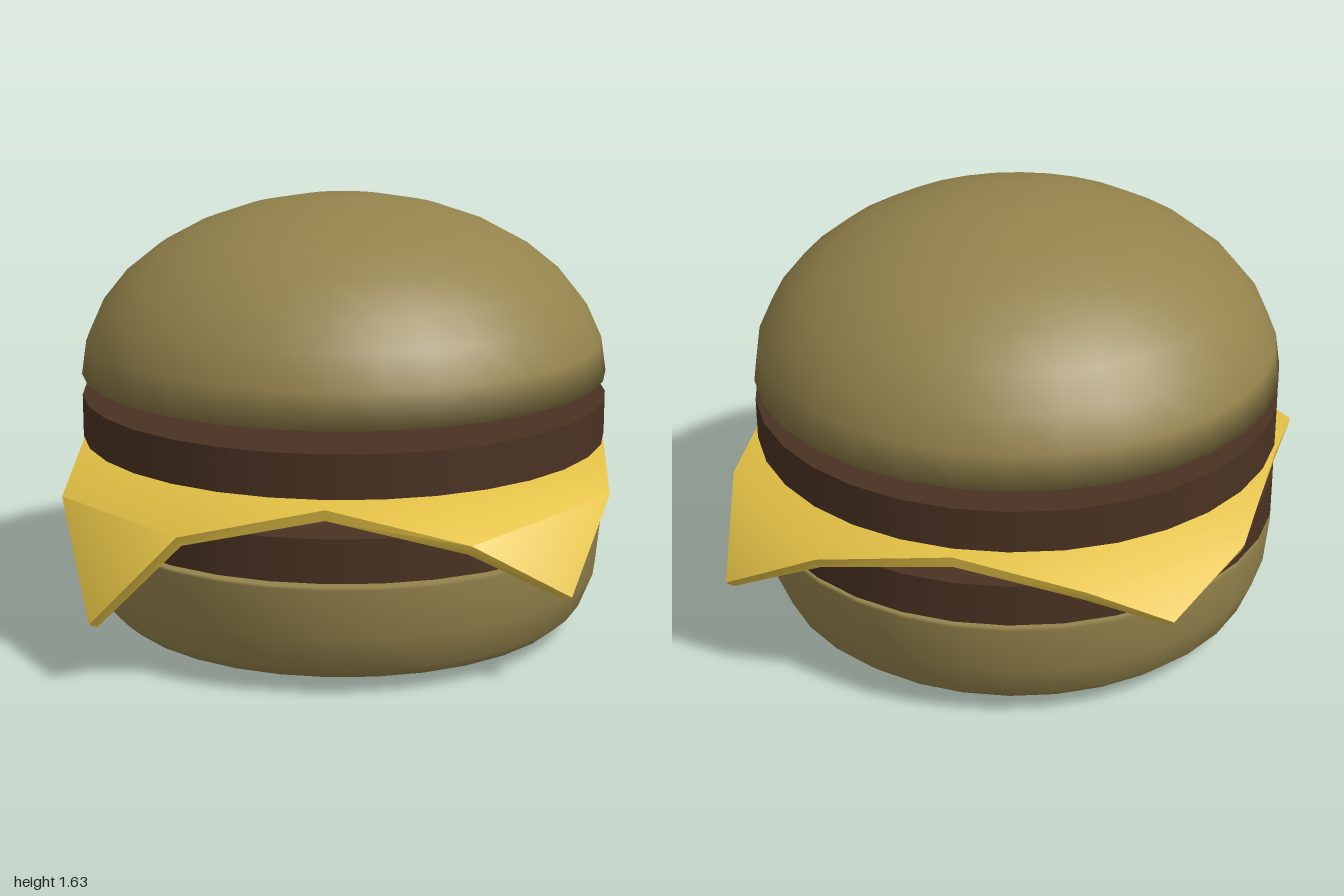
import * as THREE from 'three';
import { toCreasedNormals } from 'three/addons/utils/BufferGeometryUtils.js';

const BUN = 0x94834c, MEAT = 0x4a3222, CHEESE = 0xe3c145;
const SIDES = 32;

function part(name, geometry, color) {
  const mesh = new THREE.Mesh(geometry, new THREE.MeshStandardMaterial({ color }));
  mesh.name = name;
  return mesh;
}

const lathe = (pts) => new THREE.LatheGeometry(pts.map(([r, y]) => new THREE.Vector2(r, y)), SIDES);

function topBun() {
  // flat base, then a squashed half sphere
  const pts = [[0, 0.98]];
  for (let i = 8; i >= 0; i--) {
    const a = (i / 16) * Math.PI;
    pts.push([0.99 * Math.sin(a), 0.98 + 0.655 * Math.cos(a)]);
  }
  return part('topBun', lathe(pts), BUN);
}

function bottomBun() {
  const pts = [[0, 0], [0.6, 0.003], [0.77, 0.02], [0.87, 0.055], [0.92, 0.1],
    [0.972, 0.23], [0.99, 0.415], [0.98, 0.422], [0, 0.422]];
  return part('bottomBun', lathe(pts), BUN);
}

function patty(name, y) {
  const mesh = part(name, new THREE.CylinderGeometry(0.99, 0.99, 0.16, SIDES), MEAT);
  mesh.position.y = y;
  return mesh;
}

// Square slice as a 5 x 5 grid, its corners folded down over the patty
function cheeseSlice() {
  const thick = 0.04, n = 5, flat = 0.705;
  const rows = [ // x, y, z from back to front
    [[-0.76, 0.46, -0.86], [-0.47, 0.62, -0.985], [0, flat, -1], [0.5, 0.62, -0.99], [0.9, 0.38, -0.85]],
    [[-0.95, 0.58, -0.49], [-0.5, flat, -0.5], [0, flat, -0.5], [0.5, flat, -0.5], [0.985, 0.63, -0.48]],
    [[-0.995, flat, 0], [-0.5, flat, 0], [0, flat, 0], [0.5, flat, 0], [0.99, flat, 0]],
    [[-1, 0.59, 0.49], [-0.5, flat, 0.5], [0, flat, 0.5], [0.5, flat, 0.5], [0.99, 0.635, 0.49]],
    [[-0.84, 0.24, 0.89], [-0.51, 0.6, 0.995], [0, flat, 0.985], [0.5, 0.585, 0.98], [0.85, 0.355, 0.82]],
  ];
  const id = (i, j) => j * n + i;
  const top = [];
  for (let j = 0; j < n - 1; j++) for (let i = 0; i < n - 1; i++) {
    const a = id(i, j), b = id(i + 1, j), c = id(i, j + 1), d = id(i + 1, j + 1);
    // the diagonal cuts across each corner, making the fold line
    if ((i < 2) === (j < 2)) top.push(a, c, b, b, c, d);
    else top.push(a, c, d, a, d, b);
  }
  const upper = new THREE.BufferGeometry();
  upper.setAttribute('position', new THREE.Float32BufferAttribute(rows.flat(2), 3));
  upper.setIndex(top);
  upper.computeVertexNormals();

  // underside: top vertices pushed inward along their normals
  const p = upper.attributes.position, nor = upper.attributes.normal;
  const pos = [...p.array], index = [...top], under = n * n;
  for (let k = 0; k < under; k++) {
    pos.push(p.getX(k) - thick * nor.getX(k), p.getY(k) - thick * nor.getY(k), p.getZ(k) - thick * nor.getZ(k));
  }
  for (let k = 0; k < top.length; k += 3) index.push(top[k] + under, top[k + 2] + under, top[k + 1] + under);

  // rim, walked counter-clockwise seen from above
  const rim = [];
  for (let k = 0; k < n - 1; k++) rim.push(id(k, n - 1));
  for (let k = n - 1; k > 0; k--) rim.push(id(n - 1, k));
  for (let k = n - 1; k > 0; k--) rim.push(id(k, 0));
  for (let k = 0; k < n - 1; k++) rim.push(id(0, k));
  rim.forEach((a, k) => {
    const b = rim[(k + 1) % rim.length];
    index.push(a, a + under, b, b, a + under, b + under);
  });

  const geo = new THREE.BufferGeometry();
  geo.setAttribute('position', new THREE.Float32BufferAttribute(pos, 3));
  geo.setIndex(index);
  return part('cheeseSlice', toCreasedNormals(geo, 1.0), CHEESE);
}

export function createModel() {
  const group = new THREE.Group();
  group.name = 'burger';
  const round = [bottomBun(), patty('lowerPatty', 0.52), patty('upperPatty', 0.82), topBun()];
  round.forEach((mesh) => { mesh.position.z = -0.008; });
  group.add(...round, cheeseSlice());
  return group;
}
